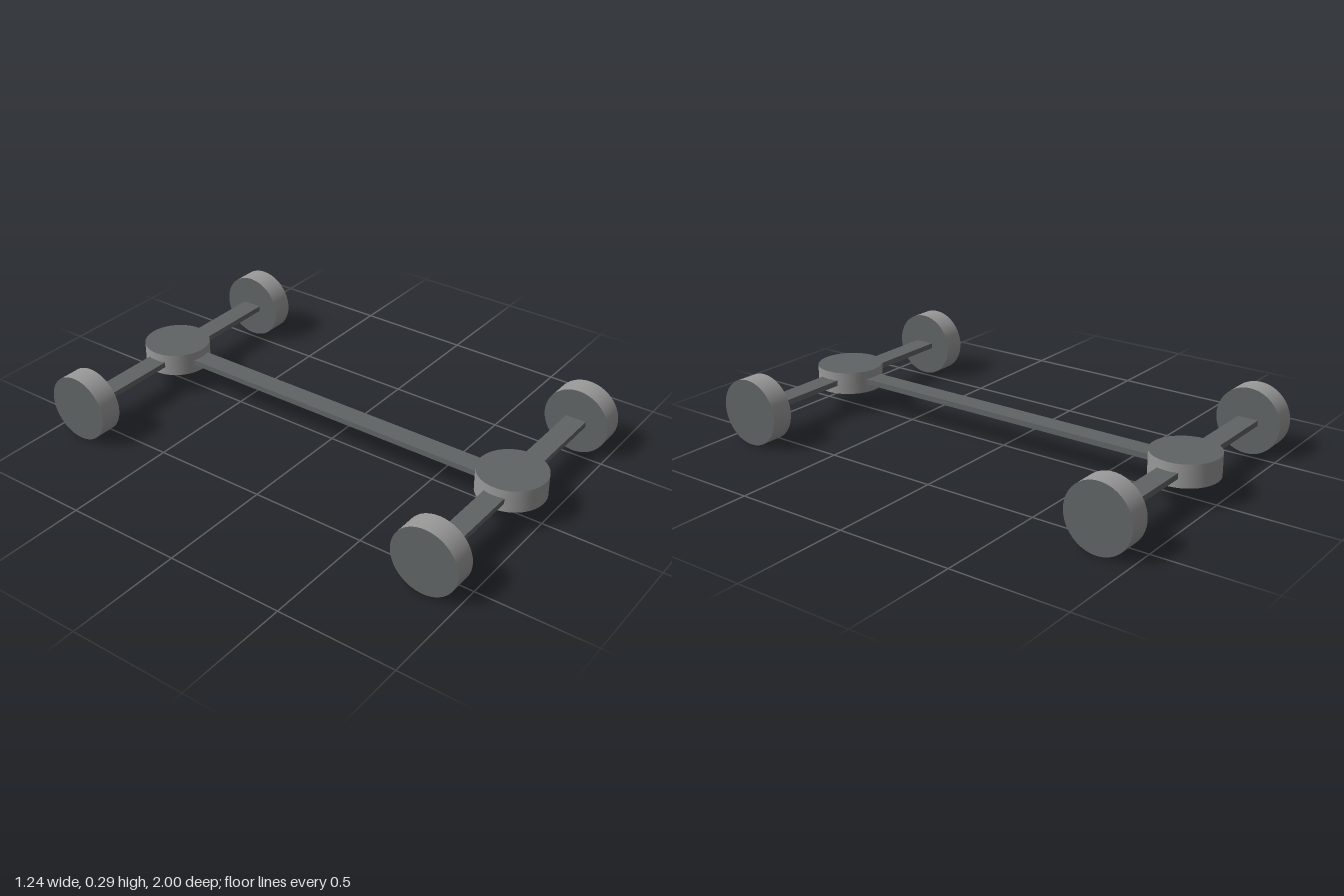
import * as THREE from 'three';

const rimGrey = new THREE.MeshStandardMaterial({ name: 'rimGrey', color: 0x999999 });
const darkGrey = new THREE.MeshStandardMaterial({ name: 'darkGrey', color: 0x606464 });

const R = 0.143;          // radius of wheels and hubs
const THICK = 0.097;      // thickness of wheels and hubs
const AXLE_Z = 0.857;     // distance of each axle from the centre
const WHEEL_X = 0.572;    // distance of each wheel from the centre

// Short drum with a light rim and dark end faces
function disc(name) {
  const mesh = new THREE.Mesh(
    new THREE.CylinderGeometry(R, R, THICK, 64),
    [rimGrey, darkGrey, darkGrey]
  );
  mesh.name = name;
  return mesh;
}

// Flat bar
function bar(name, w, d) {
  const mesh = new THREE.Mesh(new THREE.BoxGeometry(w, 0.024, d), darkGrey);
  mesh.name = name;
  return mesh;
}

export function createModel() {
  const model = new THREE.Group();
  model.name = 'chassis';

  // Long bar joining both hubs
  const spine = bar('spine', 0.09, 2 * (AXLE_Z - R) + 0.02);
  spine.position.y = R;
  model.add(spine);

  for (const [end, sz] of [['front', 1], ['rear', -1]]) {
    const axle = new THREE.Group();
    axle.name = end + 'Axle';
    axle.position.set(0, R, sz * AXLE_Z);

    axle.add(disc(end + 'Hub'));

    // Half axle and wheel on each side
    for (const [side, sx] of [['Left', 1], ['Right', -1]]) {
      const inner = R - 0.01;
      const outer = WHEEL_X - THICK / 2 + 0.005;
      const arm = bar(end + side + 'Arm', outer - inner, 0.09);
      arm.position.x = sx * (inner + outer) / 2;

      const wheel = disc(end + side + 'Wheel');
      wheel.rotation.z = Math.PI / 2;
      wheel.position.x = sx * WHEEL_X;
      axle.add(arm, wheel);
    }
    model.add(axle);
  }
  return model;
}
